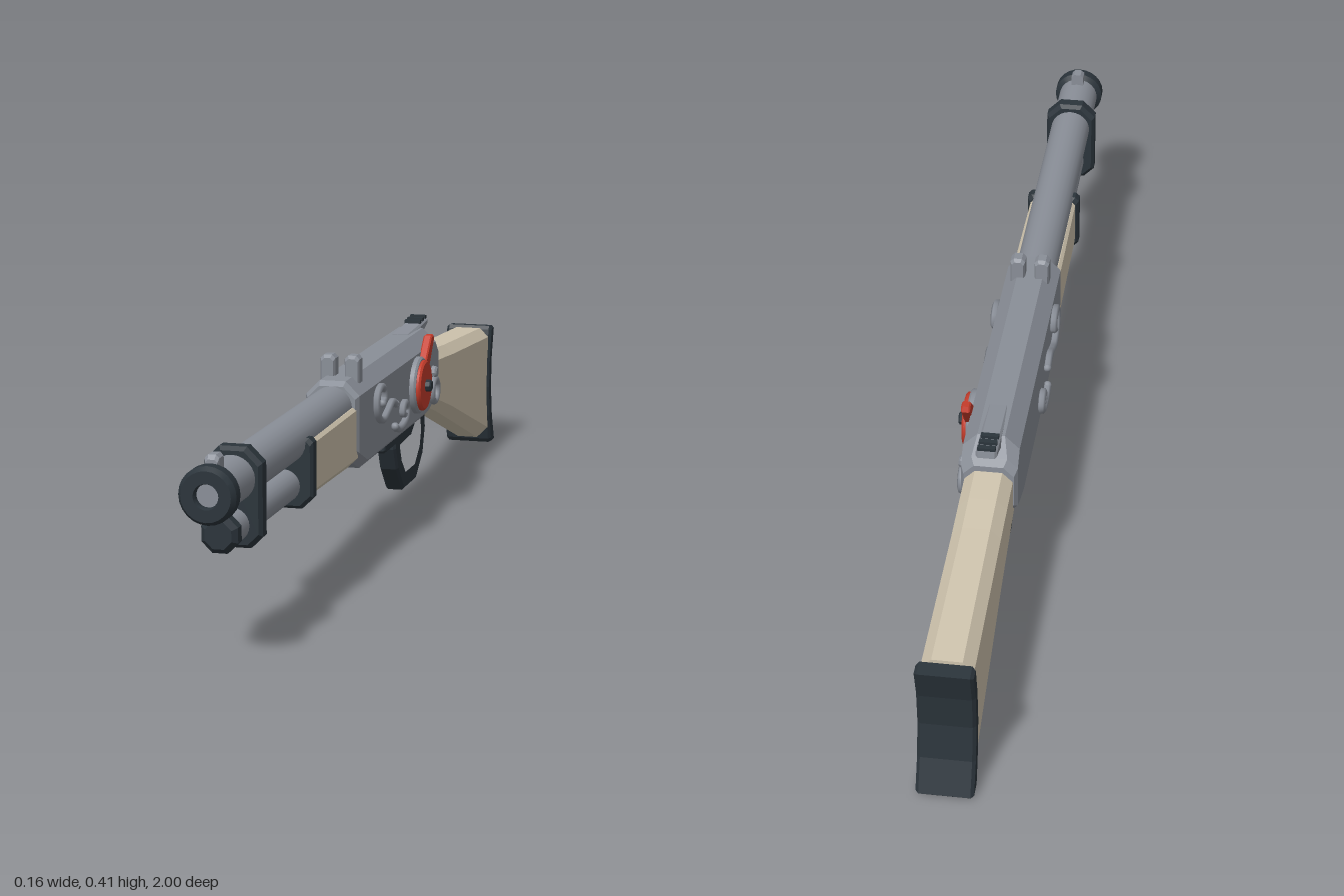
import * as THREE from 'three';
import { toCreasedNormals } from 'three/addons/utils/BufferGeometryUtils.js';

const CX = -0.011; // centre plane of the body

function colour(name, color) {
  const m = new THREE.MeshStandardMaterial({ color });
  m.name = name;
  return m;
}

// Octagonal cross-sections [z, top, bottom, halfWidth, topChamfer, bottomChamfer], front to back
function loft(sections) {
  const rings = sections.map(([z, t, b, w, ct, cb]) => [
    [w, b + cb], [w, t - ct], [w - ct, t], [-w + ct, t],
    [-w, t - ct], [-w, b + cb], [-w + cb, b], [w - cb, b],
  ].map(([x, y]) => [x + CX, y, z]));
  const pos = [];
  const tri = (...p) => p.forEach((q) => pos.push(...q));
  for (let i = 0; i < rings.length - 1; i++) {
    const a = rings[i], b = rings[i + 1];
    for (let j = 0; j < 8; j++) {
      const k = (j + 1) % 8;
      tri(a[j], b[j], b[k]);
      tri(a[j], b[k], a[k]);
    }
  }
  const f = rings[0], r = rings[rings.length - 1];
  for (let j = 1; j < 7; j++) {
    tri(f[0], f[j], f[j + 1]);
    tri(r[0], r[j + 1], r[j]);
  }
  const g = new THREE.BufferGeometry();
  g.setAttribute('position', new THREE.Float32BufferAttribute(pos, 3));
  g.computeVertexNormals();
  return g;
}

// Side profile of [z, y] points, extruded across x from x0 to x1 with a bevel
function sideProfile(points, x0, x1, bevel = 0.006, hole) {
  const toVec = (pts) => pts.map(([z, y]) => new THREE.Vector2(z, y));
  const shape = new THREE.Shape(toVec(points));
  if (hole) shape.holes.push(new THREE.Path(toVec(hole)));
  const g = new THREE.ExtrudeGeometry(shape, {
    depth: x1 - x0 - 2 * bevel, bevelEnabled: bevel > 0, bevelSegments: 1,
    bevelSize: bevel, bevelThickness: bevel, bevelOffset: -bevel,
  });
  return g.rotateY(-Math.PI / 2).translate(x1 - bevel, 0, 0);
}

// Cylinder along z
function rod(r, z0, z1, y, sides = 24) {
  const g = new THREE.CylinderGeometry(r, r, z1 - z0, sides).rotateX(Math.PI / 2);
  return g.translate(CX, y, (z0 + z1) / 2);
}

// Chamfered disc facing +x
function disc(r, x0, x1, y, z, sides = 24, bevel = 0.004) {
  const pts = [[0, 0], [r, 0], [r, x1 - x0 - bevel], [r - bevel, x1 - x0], [0, x1 - x0]];
  const g = new THREE.LatheGeometry(pts.map((p) => new THREE.Vector2(...p)), sides);
  return toCreasedNormals(g.rotateZ(-Math.PI / 2).translate(x0, y, z), 0.5);
}

export function createModel() {
  const steel = colour('steel', 0x8a8f98);
  const dark = colour('darkMetal', 0x2b343b);
  const cream = colour('paleWood', 0xcfc4ae);
  const red = colour('redPaint', 0xc53c2b);
  const model = new THREE.Group();
  const add = (name, geometry, material) => {
    const m = new THREE.Mesh(geometry, material);
    m.name = name;
    model.add(m);
    return m;
  };

  // Barrel and the tube below it
  add('barrel', rod(0.042, 0.2, 0.97, 0.318), steel);
  add('lowerTube', rod(0.031, 0.2, 0.915, 0.235), steel);
  const capPts = [[0, 0], [0.036, 0], [0.036, 0.02], [0.026, 0.03], [0, 0.03]];
  const cap = new THREE.LatheGeometry(capPts.map((p) => new THREE.Vector2(...p)), 8, Math.PI / 8);
  add('lowerTubeCap', toCreasedNormals(cap.rotateX(Math.PI / 2).translate(CX, 0.235, 0.905), 0.4), dark);

  // Muzzle ring with recessed bore
  const ringPts = [[0.04, 0], [0.052, 0.008], [0.052, 0.03], [0.045, 0.04], [0.023, 0.04], [0.021, 0.034], [0.021, 0.015]];
  const ring = new THREE.LatheGeometry(ringPts.map((p) => new THREE.Vector2(...p)), 24);
  add('muzzleRing', toCreasedNormals(ring.rotateX(Math.PI / 2).translate(CX, 0.318, 0.96), 0.4), dark);
  add('bore', rod(0.0215, 0.965, 0.985, 0.318), steel);

  // Bands
  add('frontBand', loft([
    [0.853, 0.367, 0.2, 0.047, 0.026, 0.02], [0.845, 0.374, 0.193, 0.053, 0.028, 0.022],
    [0.823, 0.374, 0.193, 0.053, 0.028, 0.022], [0.815, 0.367, 0.2, 0.047, 0.026, 0.02],
  ]), dark);
  add('rearBand', loft([
    [0.543, 0.32, 0.198, 0.05, 0.008, 0.02], [0.537, 0.326, 0.192, 0.055, 0.008, 0.022],
    [0.517, 0.326, 0.192, 0.055, 0.008, 0.022], [0.51, 0.32, 0.198, 0.05, 0.008, 0.02],
  ]), dark);

  // Wooden fore-end and rear stock
  add('foreEnd', loft([
    [0.52, 0.316, 0.202, 0.048, 0.006, 0.02], [0.21, 0.32, 0.198, 0.05, 0.006, 0.02],
  ]), cream);
  add('stock', loft([
    [-0.42, 0.312, 0.195, 0.046, 0.02, 0.02], [-0.52, 0.305, 0.165, 0.046, 0.02, 0.02],
    [-0.6, 0.298, 0.138, 0.046, 0.02, 0.022], [-0.945, 0.276, 0.017, 0.048, 0.02, 0.025],
  ]), cream);
  add('buttPad', sideProfile([
    [-0.952, 0.272], [-0.936, 0.21], [-0.93, 0.14], [-0.938, 0.07], [-0.955, 0.012], [-0.962, 0.003],
    [-0.994, 0], [-1, 0.006], [-0.974, 0.07], [-0.962, 0.14], [-0.968, 0.21], [-0.988, 0.277], [-0.957, 0.28],
  ], CX - 0.053, CX + 0.053, 0.006), dark);

  // Receiver
  add('receiver', loft([
    [0.222, 0.36, 0.22, 0.048, 0.024, 0.016], [0.21, 0.369, 0.21, 0.054, 0.028, 0.018],
    [0.15, 0.369, 0.184, 0.054, 0.028, 0.018], [-0.345, 0.369, 0.184, 0.054, 0.028, 0.018],
    [-0.405, 0.369, 0.2, 0.054, 0.028, 0.018], [-0.432, 0.335, 0.21, 0.054, 0.02, 0.018],
    [-0.443, 0.322, 0.218, 0.048, 0.02, 0.018],
  ]), steel);

  // Sights
  for (const s of [-1, 1]) {
    add('rearSightPost', loft([
      [0.164, 0.404, 0.355, 0.012, 0.006, 0.001], [0.158, 0.41, 0.355, 0.015, 0.007, 0.001],
      [0.136, 0.41, 0.355, 0.015, 0.007, 0.001], [0.13, 0.404, 0.355, 0.012, 0.006, 0.001],
    ]).translate(s * 0.0245, 0, 0), steel);
  }
  add('frontSight', loft([
    [0.968, 0.376, 0.345, 0.011, 0.005, 0.001], [0.962, 0.384, 0.345, 0.013, 0.006, 0.001],
    [0.938, 0.384, 0.345, 0.013, 0.006, 0.001],
  ]), steel);

  // Hammer with ridged thumb piece
  add('hammer', sideProfile([
    [-0.31, 0.36], [-0.31, 0.37], [-0.4, 0.374], [-0.473, 0.38], [-0.475, 0.366], [-0.44, 0.355], [-0.4, 0.34], [-0.35, 0.34],
  ], CX - 0.02, CX + 0.02, 0.004), steel);
  for (const z of [-0.422, -0.444, -0.466]) {
    add('hammerRidge', new THREE.BoxGeometry(0.034, 0.012, 0.011).translate(CX, 0.378 - (z + 0.444) * 0.08, z), dark);
  }

  // Lever loop, its plate and the trigger
  add('leverLoop', sideProfile([
    [-0.195, 0.175], [-0.198, 0.145], [-0.22, 0.098], [-0.27, 0.043], [-0.375, 0.043],
    [-0.435, 0.088], [-0.456, 0.145], [-0.445, 0.198], [-0.41, 0.215],
  ], CX - 0.02, CX + 0.02, 0.005, [
    [-0.227, 0.152], [-0.246, 0.108], [-0.282, 0.074], [-0.365, 0.074], [-0.41, 0.107],
    [-0.424, 0.145], [-0.41, 0.184], [-0.36, 0.175], [-0.33, 0.157],
  ]), dark);
  add('leverPlate', sideProfile([
    [-0.113, 0.195], [-0.113, 0.16], [-0.12, 0.154], [-0.32, 0.154], [-0.34, 0.175], [-0.34, 0.195],
  ], CX - 0.02, CX + 0.02, 0.004), dark);
  add('trigger', sideProfile([
    [-0.25, 0.165], [-0.262, 0.145], [-0.27, 0.132], [-0.283, 0.132], [-0.285, 0.145], [-0.28, 0.165],
  ], CX - 0.008, CX + 0.008, 0.002), dark);

  // Red dial with lever arm on the left side
  add('dialBase', disc(0.06, 0.04, 0.056, 0.278, -0.238), steel);
  add('dial', disc(0.053, 0.054, 0.065, 0.278, -0.238), red);
  add('dialHub', disc(0.013, 0.06, 0.077, 0.278, -0.238, 8, 0.003), dark);
  add('dialLever', sideProfile([
    [-0.25, 0.315], [-0.275, 0.29], [-0.33, 0.36], [-0.326, 0.371], [-0.308, 0.371],
  ], 0.041, 0.059, 0.003), red);

  // Small ring ornament on the left side
  add('sideRing', new THREE.TorusGeometry(0.024, 0.008, 8, 20).rotateY(Math.PI / 2).translate(0.048, 0.241, -0.377), steel);
  add('sideRingKnob', disc(0.013, 0.04, 0.055, 0.28, -0.377, 10), steel);

  // Raised scrollwork on both sides
  const scrolls = [
    [[0.06, 0.298], [0.048, 0.305], [0.05, 0.324], [0.075, 0.334], [0.1, 0.322], [0.104, 0.298],
      [0.088, 0.274], [0.056, 0.264], [0.02, 0.274], [-0.015, 0.286], [-0.045, 0.276]],
    [[-0.04, 0.23], [-0.06, 0.221], [-0.095, 0.22], [-0.126, 0.23], [-0.136, 0.248],
      [-0.122, 0.264], [-0.104, 0.26], [-0.1, 0.246], [-0.112, 0.242]],
  ];
  for (const s of [-1, 1]) {
    for (const pts of scrolls) {
      const path = new THREE.CatmullRomCurve3(pts.map(([z, y]) => new THREE.Vector3(CX + s * 0.06, y, z)));
      add('scroll', new THREE.TubeGeometry(path, 48, 0.008, 6), steel);
      for (const end of [pts[0], pts[pts.length - 1]]) {
        add('scrollEnd', new THREE.SphereGeometry(0.0085, 10, 6).translate(CX + s * 0.06, end[1], end[0]), steel);
      }
    }
  }
  return model;
}
